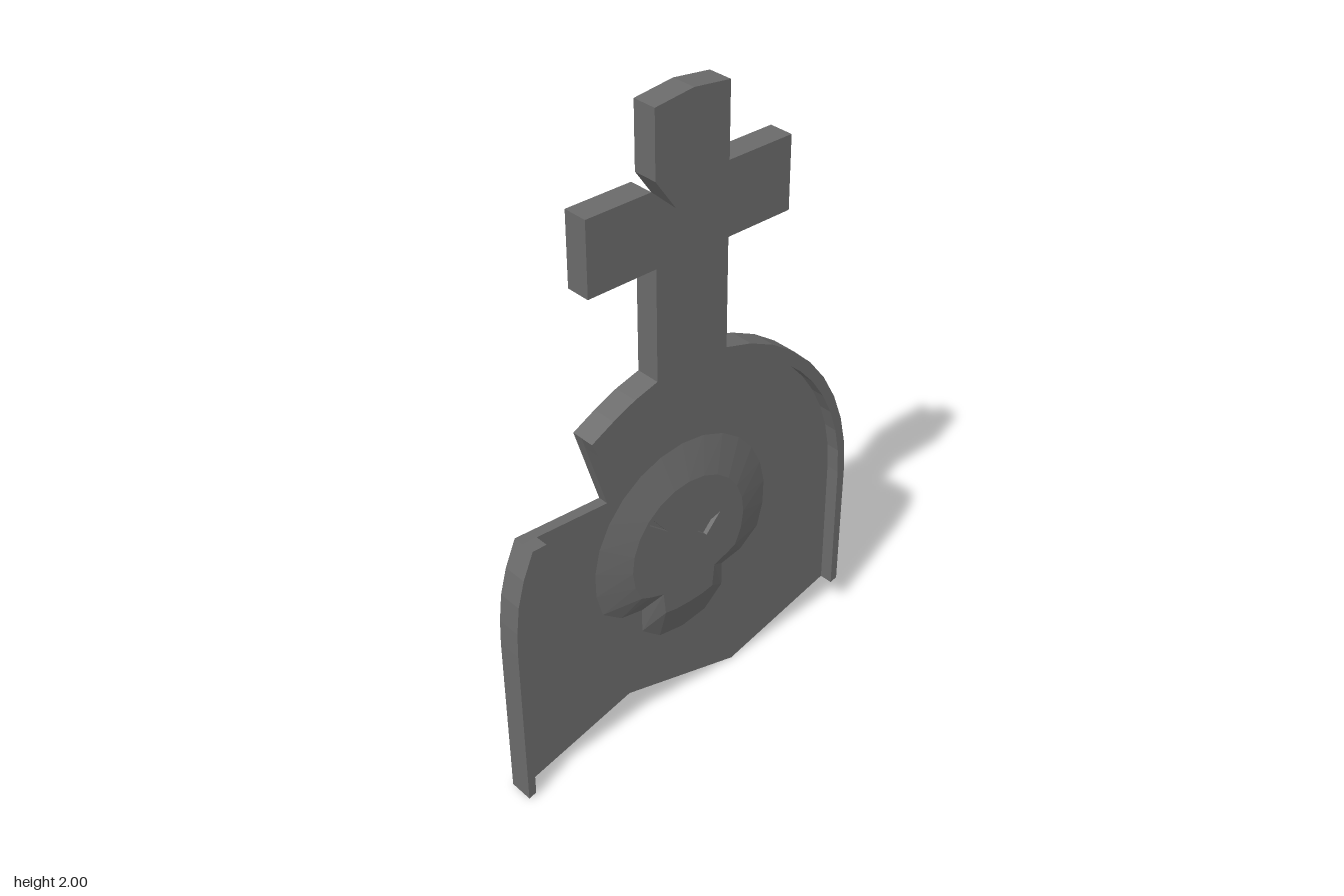
import * as THREE from 'three';

const BACK = -0.038, PANEL = -0.005, FRONT = 0.038, RELIEF = 0.03, EYE_DEPTH = 0.014;
const material = new THREE.MeshStandardMaterial({ color: 0x6a6a6a, flatShading: true });

// Profiles are drawn as [s, y] with s = -z, and extruded along x.
const toPoints = (pts) => pts.map(([s, y]) => new THREE.Vector2(s, y));
const toShape = (pts) => new THREE.Shape(toPoints(pts));

function addMesh(group, name, geometry, x) {
  const mesh = new THREE.Mesh(geometry, material);
  mesh.name = name;
  mesh.rotation.y = Math.PI / 2;
  mesh.position.x = x;
  group.add(mesh);
}

function slab(shape, depth) {
  return new THREE.ExtrudeGeometry(shape, { depth, bevelEnabled: false });
}

// Points along an elliptical arch between two s positions
function arch(rs, ry, from, to, steps) {
  const a0 = Math.acos(from / rs), a1 = Math.acos(to / rs), pts = [];
  for (let i = 0; i <= steps; i++) {
    const a = a0 + (a1 - a0) * i / steps;
    pts.push([rs * Math.cos(a), 0.55 + ry * Math.sin(a)]);
  }
  return pts;
}

// Sloping strip between an outer loop and a raised inner loop, split symmetrically
function skirt(outer, inner, height) {
  const pos = [], n = outer.length;
  for (let i = 0; i < n; i++) {
    const j = (i + 1) % n;
    const a = [...outer[i], 0], b = [...outer[j], 0];
    const c = [...inner[j], height], d = [...inner[i], height];
    if (i < n / 2) pos.push(...a, ...b, ...c, ...a, ...c, ...d);
    else pos.push(...a, ...b, ...d, ...b, ...c, ...d);
  }
  const g = new THREE.BufferGeometry();
  g.setAttribute('position', new THREE.Float32BufferAttribute(pos, 3));
  g.computeVertexNormals();
  return g;
}

// Counter-clockwise skull loop: jaw, cheek and round cranium, mirrored
function skullLoop(r, cy, lowAngle, jaw) {
  const right = jaw.slice();
  for (let i = 0; i <= 8; i++) {
    const a = THREE.MathUtils.degToRad(lowAngle + (90 - lowAngle) * i / 8);
    right.push([r * Math.cos(a), cy + r * Math.sin(a)]);
  }
  const left = right.slice(1, -1).reverse().map(([s, y]) => [-s, y]);
  return [...right, ...left];
}

export function createModel() {
  const group = new THREE.Group();
  group.name = 'gravestone';

  // Cross on top, with a small crack above one arm
  const cross = [
    [0.122, 1.21], [0.122, 1.547], [0.343, 1.547], [0.343, 1.767], [0.122, 1.767],
    [0.122, 1.985], [0, 2], [-0.127, 1.985], [-0.127, 1.79], [-0.06, 1.695],
    [-0.14, 1.767], [-0.35, 1.767], [-0.35, 1.547], [-0.127, 1.547], [-0.127, 1.21],
  ];
  const rightArch = arch(0.633, 0.672, 0.633, 0.122, 9);
  const topArch = [...arch(0.633, 0.672, -0.127, -0.28, 2), [-0.354, 1.114]];
  const leftArch = [[-0.563, 0.875], [-0.598, 0.795], [-0.62, 0.715], [-0.63, 0.63], [-0.633, 0.55]];

  // Thin back plate: broken base, arch, cross and the wedge broken out of one side
  const plate = [
    [-0.63, 0.005], [-0.212, 0.117], [0.207, 0], [0.63, 0.115],
    ...rightArch, ...cross, ...topArch, [-0.275, 0.86], ...leftArch,
  ];
  addMesh(group, 'backPlate', slab(toShape(plate), PANEL - BACK), BACK);

  // Raised border joined to the front of the cross
  const border = [
    [0.605, 0.108], [0.63, 0.115], ...rightArch, ...cross, ...topArch,
    ...arch(0.605, 0.624, -0.335, 0.605, 16),
  ];
  addMesh(group, 'borderAndCross', slab(toShape(border), FRONT - PANEL), PANEL);

  // Border left standing beyond the break
  const brokenBorder = [
    [-0.63, 0.005], [-0.605, 0.012],
    ...arch(0.605, 0.624, -0.605, -0.517, 4), ...leftArch,
  ];
  addMesh(group, 'brokenBorder', slab(toShape(brokenBorder), FRONT - PANEL), PANEL);

  // Skull relief: sloped sides around a flat face
  const outer = skullLoop(0.327, 0.6, -22,
    [[0, 0.258], [0.09, 0.272], [0.158, 0.33], [0.158, 0.41], [0.235, 0.425]]);
  const inner = skullLoop(0.214, 0.597, -31,
    [[0, 0.37], [0.05, 0.372], [0.092, 0.38], [0.1, 0.455], [0.15, 0.472]]);
  addMesh(group, 'skullSides', skirt(outer, inner, RELIEF), PANEL);
  addMesh(group, 'skullCore', slab(toShape(inner), RELIEF - EYE_DEPTH), PANEL);

  // Slanted, shallow eyes cut into the face
  const face = toShape(inner);
  const eyes = [
    [[-0.15, 0.732], [-0.134, 0.742], [-0.083, 0.677]],
    [[0.03, 0.617], [0.12, 0.643], [0.067, 0.585]],
  ];
  for (const eye of eyes) face.holes.push(new THREE.Path(toPoints(eye)));
  addMesh(group, 'skullFace', slab(face, EYE_DEPTH), PANEL + RELIEF - EYE_DEPTH);

  return group;
}
